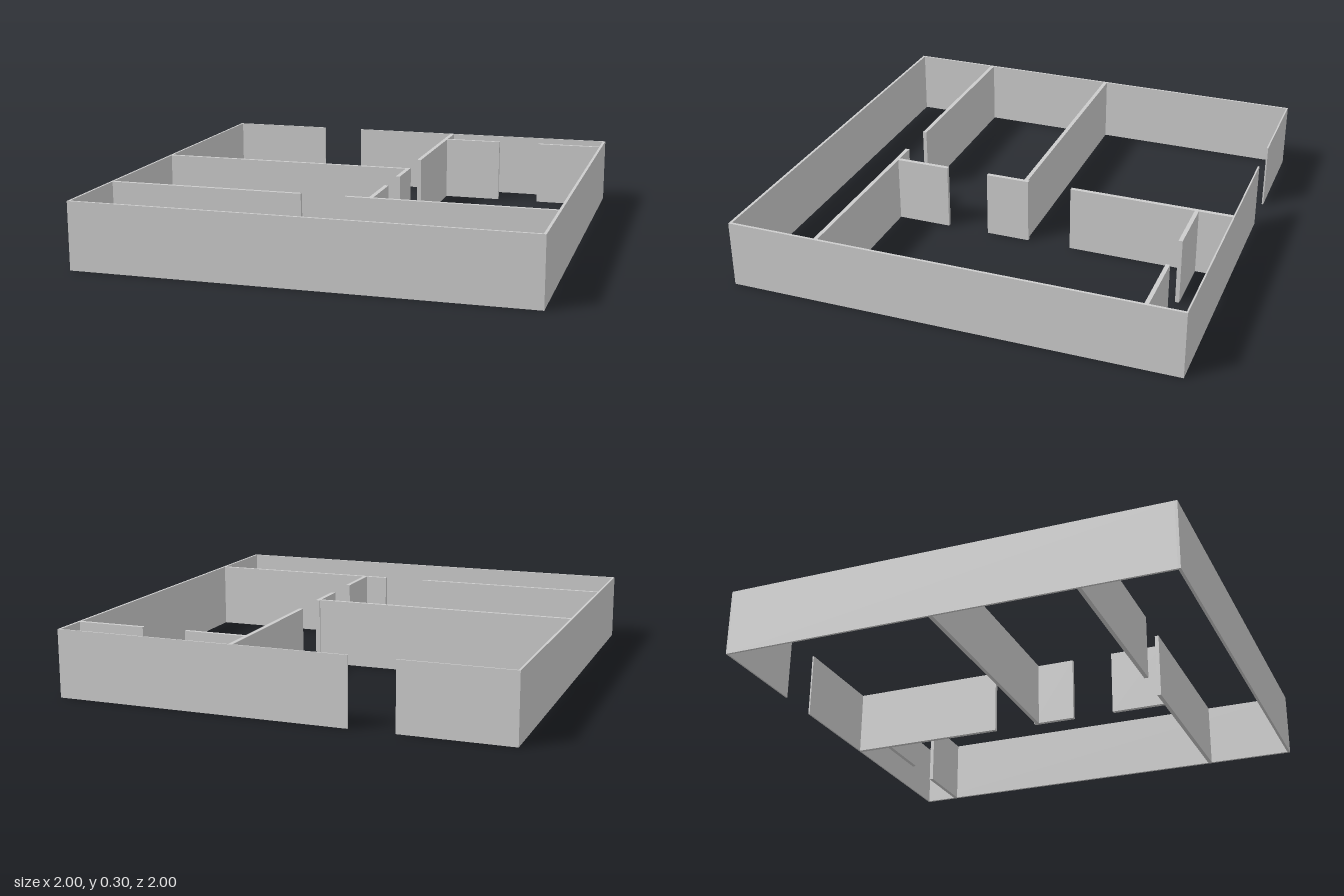
import * as THREE from 'three';

const HEIGHT = 0.3;

export function createModel() {
  const model = new THREE.Group();
  model.name = 'floorPlan';
  const material = new THREE.MeshStandardMaterial({ color: 0xcccccc, flatShading: true });

  // A wall standing on the ground, given its extent in x and z
  const wall = (parent, name, x0, x1, z0, z1) => {
    const mesh = new THREE.Mesh(new THREE.BoxGeometry(x1 - x0, HEIGHT, z1 - z0), material);
    mesh.position.set((x0 + x1) / 2, HEIGHT / 2, (z0 + z1) / 2);
    mesh.name = name;
    parent.add(mesh);
  };

  // Thin outer shell, with the entrance gap in the back wall
  const outer = new THREE.Group();
  outer.name = 'outerWalls';
  wall(outer, 'frontWall', -1, 1, 0.988, 1);
  wall(outer, 'backWallRight', -1, -0.51, -1, -0.993);
  wall(outer, 'backWallLeft', -0.31, 1, -1, -0.993);
  wall(outer, 'rightWall', -1, -0.99, -0.993, 0.988);
  wall(outer, 'leftWall', 0.988, 1, -0.993, 0.988);

  // Partitions, with gaps for the doorways
  const inner = new THREE.Group();
  inner.name = 'innerWalls';
  const spine = [[-0.993, -0.26], [-0.06, 0.14], [0.335, 0.585]];
  spine.forEach(([z0, z1]) => wall(inner, 'spineWall', 0.187, 0.206, z0, z1));
  const cross = [
    ['closetWall', -0.835, 0.206, 0.48],
    ['closetWall', -0.835, 0.68, 0.988],
    ['middleWall', -0.044, -0.99, 0.187],
    ['corridorWall', 0.591, -0.99, -0.11],
    ['corridorWall', 0.591, 0.085, 0.988],
  ];
  cross.forEach(([name, z, x0, x1]) => wall(inner, name, x0, x1, z - 0.009, z + 0.009));

  model.add(outer, inner);
  return model;
}
